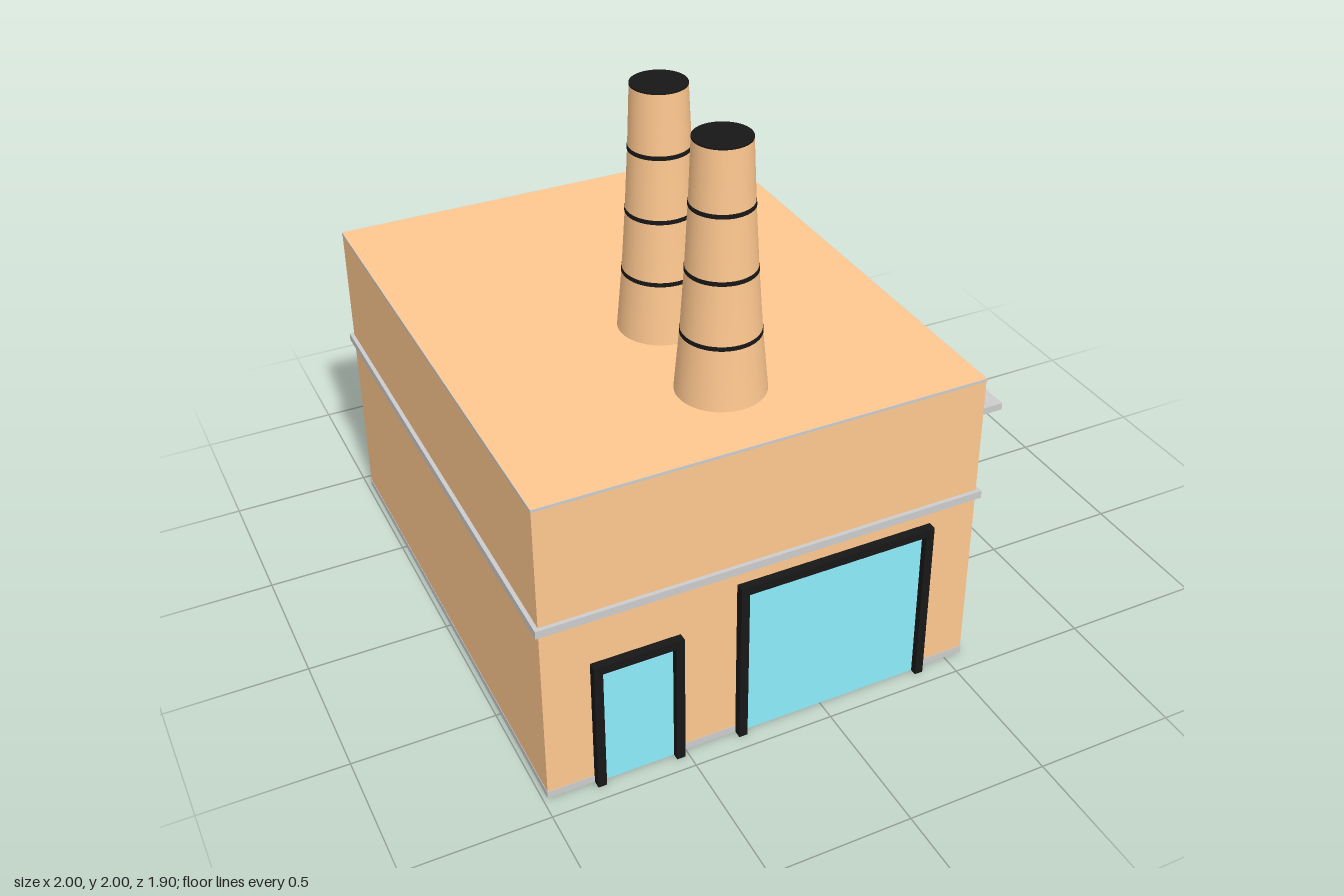
import * as THREE from 'three';

const mat = (color, side = THREE.FrontSide) => new THREE.MeshStandardMaterial({ color, side });
const BRICK = mat(0xfec78f, THREE.DoubleSide), BLACK = mat(0x171717), GLASS = mat(0x8cedfc), GREY = mat(0xcccccc);

// Outer walls and the loading recess on the model's left side
const X0 = -0.983, X1 = 0.565, Z0 = -0.94, Z1 = 0.92, ROOF = 1.135;
const BAY = { x: 0.255, z0: -0.47, z1: 0.46, top: 0.61 };

export function createModel() {
  const group = new THREE.Group();

  const add = (name, geometry, material, parent = group) => {
    const mesh = new THREE.Mesh(geometry, material);
    mesh.name = name;
    parent.add(mesh);
    return mesh;
  };
  // Box given by its extents
  const box = (name, [x0, x1], [y0, y1], [z0, z1], material, parent) => {
    const mesh = add(name, new THREE.BoxGeometry(x1 - x0, y1 - y0, z1 - z0), material, parent);
    mesh.position.set((x0 + x1) / 2, (y0 + y1) / 2, (z0 + z1) / 2);
  };
  // Plan outlines are drawn in (x, -z), counter-clockwise from above
  const outline = (e, bay) => {
    const p = [[X0 - e, Z1 + e], [X1 + e, Z1 + e]];
    if (bay) p.push([X1 + e, BAY.z1 - e], [BAY.x + e, BAY.z1 - e], [BAY.x + e, BAY.z0 + e], [X1 + e, BAY.z0 + e]);
    p.push([X1 + e, Z0 - e], [X0 - e, Z0 - e]);
    return p.map(([x, z]) => new THREE.Vector2(x, -z));
  };
  // Thin upright walls along a plan outline
  const walls = (name, points, y0, y1) => {
    const corners = [];
    points.forEach((a, i) => {
      const b = points[(i + 1) % points.length];
      for (const [p, y] of [[a, y0], [b, y0], [b, y1], [a, y0], [b, y1], [a, y1]]) corners.push(p.x, y, -p.y);
    });
    const geometry = new THREE.BufferGeometry();
    geometry.setAttribute('position', new THREE.Float32BufferAttribute(corners, 3));
    geometry.computeVertexNormals();
    add(name, geometry, BRICK);
  };
  // Raised band running around the walls
  const trim = (name, e, bay, y0, y1) => {
    const shape = new THREE.Shape(outline(e, bay));
    shape.holes.push(new THREE.Path(outline(0, bay)));
    const geometry = new THREE.ExtrudeGeometry(shape, { depth: y1 - y0, bevelEnabled: false });
    add(name, geometry.rotateX(-Math.PI / 2).translate(0, y0, 0), GREY);
  };

  // Hollow shell, open underneath: notched lower storey, plain upper storey, flat roof
  walls('lowerWalls', outline(0, true), 0, BAY.top);
  walls('upperWalls', outline(0, false), BAY.top, ROOF);
  const roof = new THREE.ShapeGeometry(new THREE.Shape(outline(0, false)));
  add('roof', roof.rotateX(-Math.PI / 2).translate(0, ROOF, 0), BRICK);
  const ceiling = new THREE.PlaneGeometry(X1 - BAY.x, BAY.z1 - BAY.z0).rotateX(Math.PI / 2);
  add('recessCeiling', ceiling.translate((X1 + BAY.x) / 2, BAY.top, (BAY.z0 + BAY.z1) / 2), BRICK);
  trim('baseTrim', 0.0015, true, 0, 0.027);
  trim('beltTrim', 0.014, false, 0.672, 0.7);
  trim('roofTrim', 0.0015, false, ROOF - 0.01, ROOF);

  // Canopy over the loading recess
  box('canopy', [X1, 1], [BAY.top, 0.637], [-0.475, 0.456], GREY);

  // Doors: frame open at the ground, with a flat panel
  const door = (name, x0, x1, top) => {
    const unit = new THREE.Group();
    unit.name = name;
    const t = 0.03;
    const s = new THREE.Shape([
      [x0, 0], [x0 + t, 0], [x0 + t, top - t], [x1 - t, top - t], [x1 - t, 0], [x1, 0], [x1, top], [x0, top],
    ].map(([x, y]) => new THREE.Vector2(x, y)));
    const frame = add('doorFrame', new THREE.ExtrudeGeometry(s, { depth: 0.03, bevelEnabled: false }), BLACK, unit);
    frame.position.z = Z1;
    box('doorPanel', [x0 + t, x1 - t], [0, top - t], [Z1, Z1 + 0.006], GLASS, unit);
    group.add(unit);
  };
  door('smallDoor', -0.822, -0.514, 0.496);
  door('largeDoor', -0.317, 0.393, 0.621);

  // Strip of six windows
  const strip = new THREE.Group();
  strip.name = 'windowStrip';
  group.add(strip);
  const xs = [X1, 0.599], y0 = 0.888, y1 = 1.07, zf = 0.767, zb = -0.754, t = 0.03;
  box('topRail', xs, [y1 - t, y1], [zb, zf], BLACK, strip);
  box('bottomRail', xs, [y0, y0 + t], [zb, zf], BLACK, strip);
  const pitch = (zf - zb - t) / 6;
  for (let i = 0; i <= 6; i++) {
    const z = zb + i * pitch;
    box('mullion', xs, [y0 + t, y1 - t], [z, z + t], BLACK, strip);
    if (i < 6) box('windowPane', [X1, X1 + 0.008], [y0 + t, y1 - t], [z + t, z + pitch], GLASS, strip);
  }

  // Tapered chimneys with dark bands and caps
  const profile = [[0.149, ROOF], [0.129, 1.35], [0.114, 1.567], [0.102, 1.785], [0.093, 1.994]];
  for (const z of [0.15, 0.585]) {
    const chimney = new THREE.Group();
    chimney.name = 'chimney';
    chimney.position.set(-0.209, 0, z);
    group.add(chimney);
    add('chimneyStack', new THREE.LatheGeometry(profile.map(([r, y]) => new THREE.Vector2(r, y)), 48), BRICK, chimney);
    for (const [r, y] of profile.slice(1, 4)) {
      add('chimneyBand', new THREE.CylinderGeometry(r + 0.001, r + 0.002, 0.014, 48), BLACK, chimney).position.y = y;
    }
    add('chimneyCap', new THREE.CylinderGeometry(0.093, 0.093, 0.008, 48), BLACK, chimney).position.y = 1.996;
  }

  return group;
}
